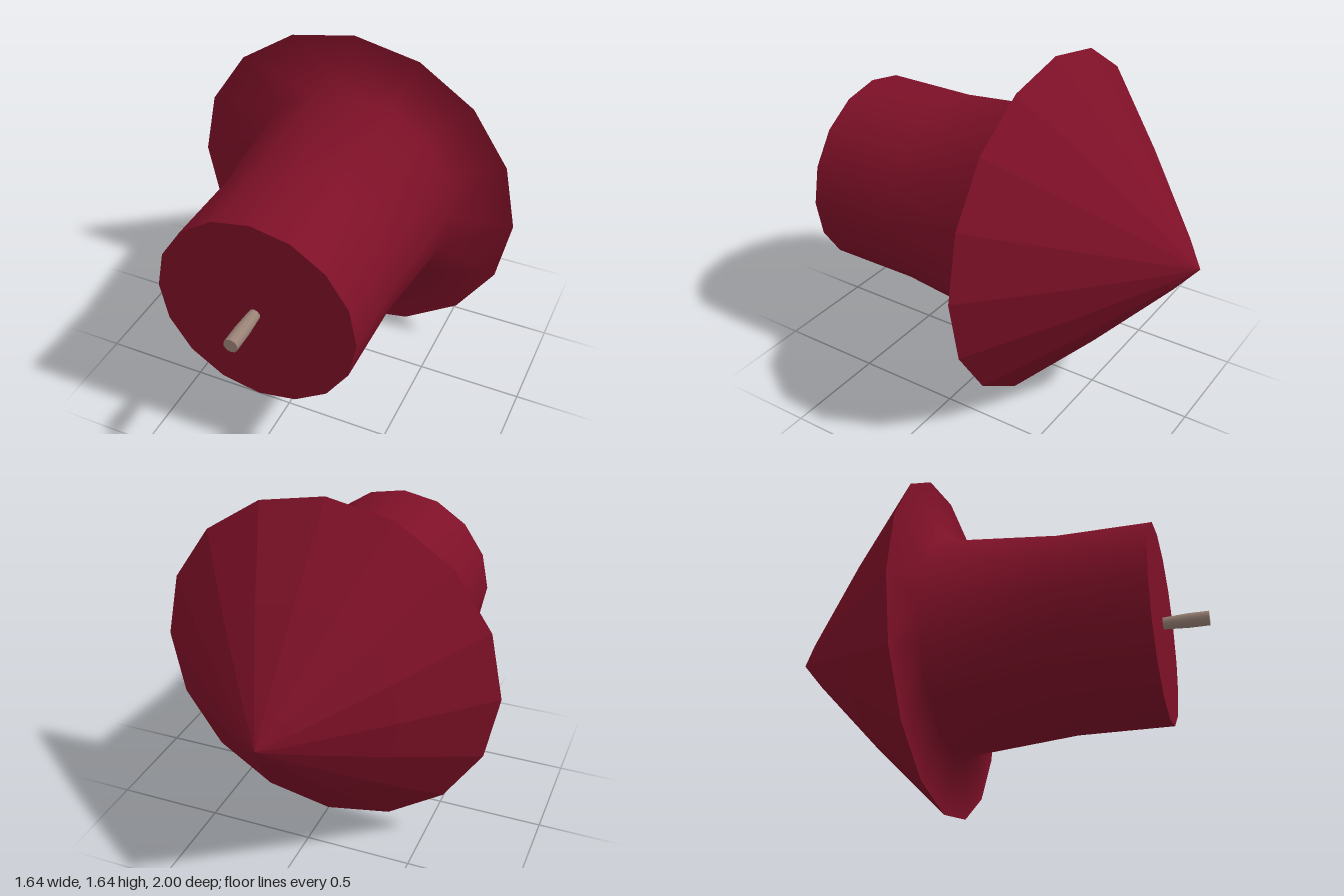
import * as THREE from 'three';

const SIDES = 16;
const CENTRE_Y = 0.82;

// Turns a [radius, z] profile (back to front) around the model's long axis.
function turned(profile, sides, flat = false) {
  let g = new THREE.LatheGeometry(profile.map(([r, z]) => new THREE.Vector2(r, z)), sides);
  g.rotateX(Math.PI / 2);
  if (flat) {
    g = g.toNonIndexed();
    g.computeVertexNormals();
  }
  return g;
}

export function createModel() {
  const group = new THREE.Group();
  const red = new THREE.MeshStandardMaterial({ color: 0x7d1027 });
  red.name = 'dark red';
  const cord = new THREE.MeshStandardMaterial({ color: 0x9a8276 });
  cord.name = 'cord brown';

  function add(name, geometry, material) {
    const mesh = new THREE.Mesh(geometry, material);
    mesh.name = name;
    mesh.position.y = CENTRE_Y;
    group.add(mesh);
  }

  // Faceted pointed cap, slightly convex
  add('noseCone', turned([[0, -1], [0.125, -0.9], [0.47, -0.59], [0.82, -0.25]], SIDES, true), red);

  // Underside of the cap flowing smoothly into the tube
  add('body', turned([[0.82, -0.25], [0.525, -0.215], [0.472, 0.34], [0.472, 0.79]], SIDES), red);

  // Flat end of the tube
  add('endCap', turned([[0.472, 0.79], [0, 0.79]], SIDES), red);

  // Short fuse, a little wider at its free end
  add('fuse', turned([[0.027, 0.78], [0.034, 0.9], [0.034, 1]], 10), cord);
  add('fuseTip', turned([[0.034, 1], [0, 1]], 10), cord);

  return group;
}
